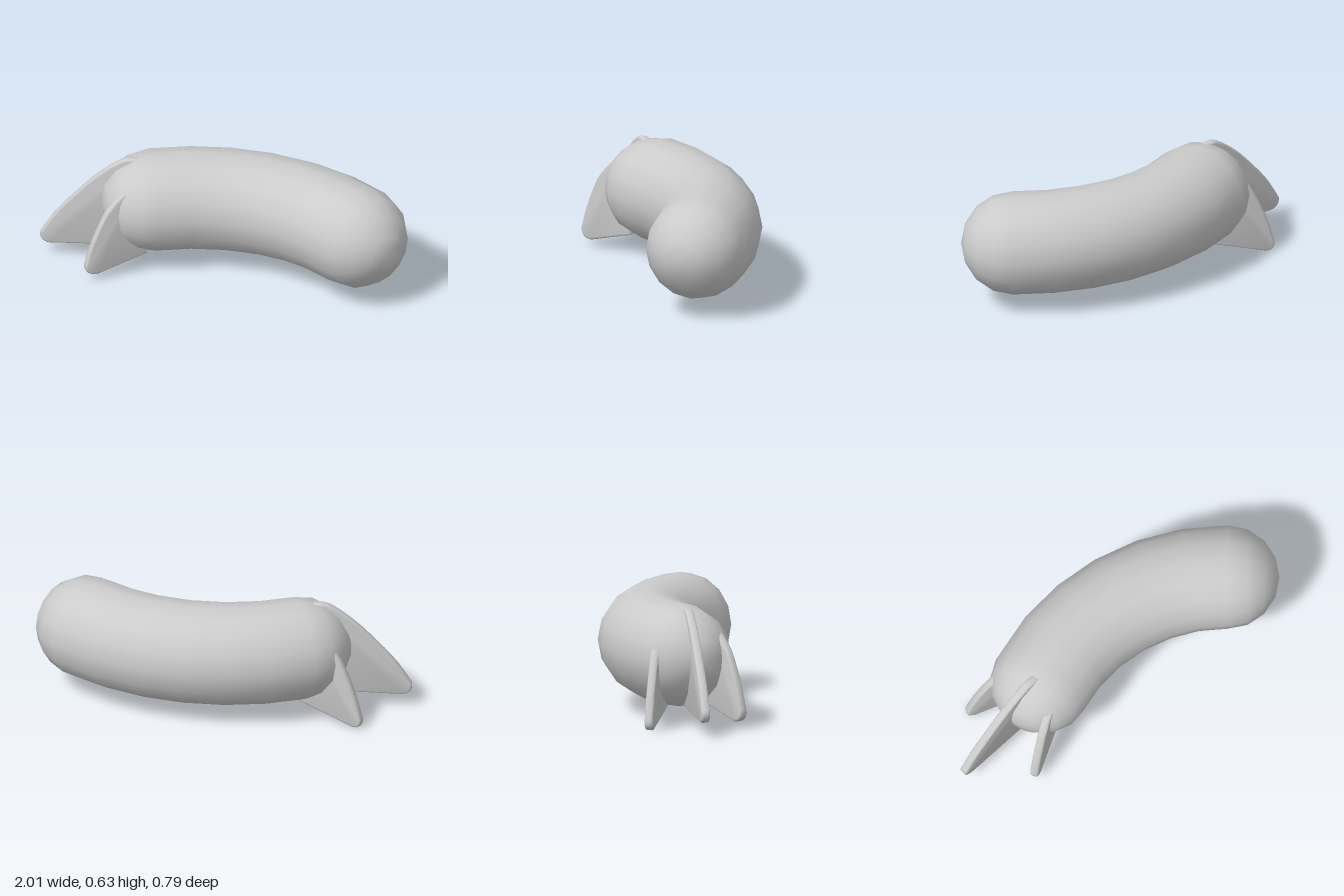
import * as THREE from 'three';
import { mergeVertices, toCreasedNormals } from 'three/addons/utils/BufferGeometryUtils.js';

const grey = new THREE.MeshStandardMaterial({ color: 0xcccccc });

// Capsule bent along a horizontal arc
function bentBody() {
  const radius = 0.275, bend = 1.11, half = 0.545 * bend;
  const centre = new THREE.Vector3(0.155, 0.355, 0.985);
  let geo = new THREE.CapsuleGeometry(radius, 2 * half, 4, 16, 6);
  const p = geo.attributes.position;
  for (let i = 0; i < p.count; i++) {
    const x = p.getX(i), y = p.getY(i), z = p.getZ(i);
    const along = THREE.MathUtils.clamp(y, -half, half);
    const a = along / bend, cap = y - along;
    p.setXYZ(i,
      centre.x + (bend + x) * Math.sin(a) + cap * Math.cos(a),
      centre.y - z,
      centre.z - (bend + x) * Math.cos(a) + cap * Math.sin(a));
  }
  geo.deleteAttribute('normal');
  geo.deleteAttribute('uv');
  geo = mergeVertices(geo, 1e-4);
  geo.computeVertexNormals();
  const mesh = new THREE.Mesh(geo, grey);
  mesh.name = 'body';
  return mesh;
}

// Upright fin: curved leading edge, rounded tip, straight lower edge.
// Outline points are (distance outward, height).
function fin(name, root, dir, edge, tip, base) {
  const shape = new THREE.Shape();
  shape.moveTo(0, base);
  shape.lineTo(...edge[0]);
  shape.splineThru(edge.slice(1).map(([u, y]) => new THREE.Vector2(u, y)));
  const last = edge[edge.length - 1];
  shape.quadraticCurveTo(last[0] + 0.005, tip[1] + 0.005, tip[0], tip[1]);
  shape.lineTo(0, base);
  const bevel = 0.012, depth = 0.022;
  const geo = new THREE.ExtrudeGeometry(shape, {
    depth, curveSegments: 6, bevelSize: bevel, bevelThickness: bevel, bevelOffset: -bevel, bevelSegments: 2,
  });
  geo.translate(0, 0, -depth / 2);
  const mesh = new THREE.Mesh(toCreasedNormals(geo, 0.8), grey);
  mesh.name = name;
  mesh.position.set(root[0], 0, root[1]);
  mesh.rotation.y = Math.atan2(-dir[1], dir[0]);
  return mesh;
}

export function createModel() {
  const group = new THREE.Group();
  group.name = 'finnedBody';
  group.add(
    bentBody(),
    fin('middleFin', [-0.4, 0.06], [-0.98, 0.2],
      [[0.06, 0.61], [0.16, 0.61], [0.29, 0.52], [0.41, 0.4], [0.53, 0.26], [0.613, 0.13]], [0.56, 0.07], 0.1),
    fin('frontFin', [-0.41, 0.17], [-0.788, 0.616],
      [[0.06, 0.52], [0.13, 0.49], [0.21, 0.41], [0.26, 0.32], [0.31, 0.2], [0.342, 0.09]], [0.28, 0.03], 0.11),
    fin('backFin', [-0.4, -0.03], [-0.97, -0.24],
      [[0.08, 0.53], [0.15, 0.52], [0.22, 0.46], [0.29, 0.36], [0.36, 0.2], [0.405, 0.05]], [0.36, 0], 0.1),
  );
  return group;
}
